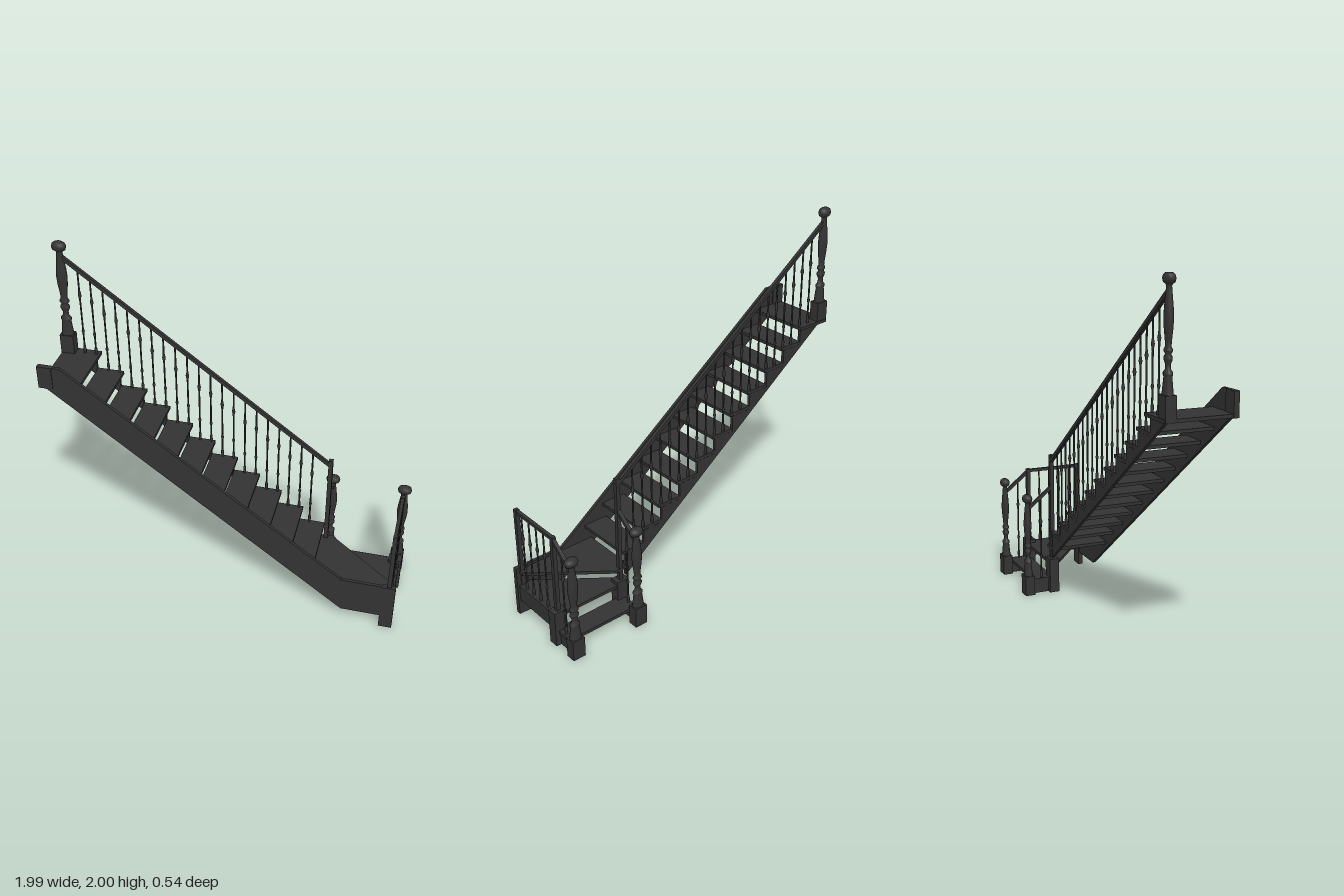
import * as THREE from 'three';

export function createModel() {
  const group = new THREE.Group();
  const mat = new THREE.MeshStandardMaterial({ color: 0x333333 });
  mat.name = 'charcoal';

  const add = (name, geo) => {
    const m = new THREE.Mesh(geo, mat);
    m.name = name;
    group.add(m);
    return m;
  };
  // box from min / max corners
  const box = (name, x0, x1, y0, y1, z0, z1) => {
    const m = add(name, new THREE.BoxGeometry(x1 - x0, y1 - y0, z1 - z0));
    m.position.set((x0 + x1) / 2, (y0 + y1) / 2, (z0 + z1) / 2);
    return m;
  };
  const shapeOf = pts => new THREE.Shape(pts.map(p => new THREE.Vector2(...p)));
  // side profile in x-y, given a thickness along z
  const board = (name, pts, z0, z1) => {
    const g = new THREE.ExtrudeGeometry(shapeOf(pts), { depth: z1 - z0, bevelEnabled: false });
    g.translate(0, 0, z0);
    return add(name, g);
  };
  // plan outline in x-z, top face at the given height
  const plate = (name, pts, top, t) => {
    const g = new THREE.ExtrudeGeometry(shapeOf(pts.map(([x, z]) => [x, -z])), { depth: t, bevelEnabled: false });
    g.rotateX(-Math.PI / 2);
    g.translate(0, top - t, 0);
    return add(name, g);
  };
  // square bar between two points
  const bar = (name, a, b, w, h) => {
    const p = new THREE.Vector3(...a), q = new THREE.Vector3(...b);
    const m = add(name, new THREE.BoxGeometry(w, h, p.distanceTo(q)));
    m.position.copy(p).lerp(q, 0.5);
    m.lookAt(q);
    return m;
  };

  // turned baluster with two beads
  const baluster = (x, z, y0, y1) => {
    const h = y1 - y0;
    const prof = [[0.008, 0], [0.008, 0.08], [0.005, 0.1], [0.005, 0.24], [0.009, 0.27], [0.005, 0.3],
      [0.005, 0.62], [0.006, 0.66], [0.01, 0.7], [0.006, 0.74], [0.005, 0.78], [0.005, 1]];
    const m = add('baluster', new THREE.LatheGeometry(prof.map(([r, t]) => new THREE.Vector2(r, t * h)), 8));
    m.position.set(x, y0, z);
  };

  // newel post: square base, flared block, turned shaft and flattened cap
  const newelProfile = [[0.036, 0], [0.034, 0.03], [0.026, 0.15], [0.03, 0.165], [0.03, 0.185], [0.018, 0.21],
    [0.016, 0.25], [0.026, 0.29], [0.027, 0.31], [0.018, 0.34], [0.027, 0.36], [0.027, 0.375], [0.019, 0.4],
    [0.021, 0.45], [0.028, 0.55], [0.031, 0.63], [0.028, 0.72], [0.02, 0.84], [0.017, 0.89], [0.022, 0.905],
    [0.036, 0.92], [0.041, 0.95], [0.036, 0.98], [0.022, 0.997], [0, 1]];
  const newel = (x, z, y0, yBase, y1) => {
    box('newelBase', x - 0.038, x + 0.038, y0, yBase, z - 0.029, z + 0.029);
    const h = y1 - yBase;
    const g = new THREE.LatheGeometry(newelProfile.map(([r, t]) => new THREE.Vector2(r, t * h)), 16);
    g.scale(1, 1, 0.72);
    const m = add('newelShaft', g);
    m.position.set(x, yBase, z);
  };

  const N = 11, run = 0.13, rise = 0.096, T = 0.018;
  const edge = i => -0.78 + run * i;
  const top = i => 1.34 - rise * i;
  const lower = x => 1.3 - 0.753 * (x + 0.93);
  const zRail = -0.085;

  // closed stringer with feet and end block
  board('frontStringer', [[-0.99, 1.32], [-0.95, 1.315], [0.69, 0.08], [0.985, 0.08], [0.985, 0.3],
    [0.68, 0.3], [-0.87, 1.45], [-0.99, 1.45]], 0.25, 0.268);
  box('frontFoot', 0.91, 0.985, 0, 0.3, 0.243, 0.272);
  box('frontEndBlock', -0.995, -0.915, 1.32, 1.45, 0.243, 0.272);

  // straight flight
  for (let i = 0; i < N; i++) {
    box('tread', i ? edge(i) - 0.15 : -0.99, edge(i), top(i) - T, top(i), -0.095, 0.252);
  }
  box('landingNosing', -0.99, -0.78, 1.322, 1.34, -0.118, -0.09);

  // cut stringer stepping under the treads
  const saw = [[-0.95, 1.315], [0.5, lower(0.5)]];
  for (let i = N - 1; i >= 0; i--) {
    const x = edge(i) - 0.02;
    saw.push([x, top(i + 1) - T], [x, top(i) - T]);
  }
  saw.push([-0.98, top(0) - T]);
  board('cutStringer', saw, -0.096, -0.078);

  // winders and bottom step
  plate('upperWinder', [[0.48, -0.095], [0.57, -0.1], [0.965, 0.215], [0.965, 0.252], [0.48, 0.252]], 0.284, T);
  plate('lowerWinder', [[0.53, -0.105], [0.97, -0.105], [0.97, 0.252], [0.9, 0.252], [0.53, -0.04]], 0.188, T);
  box('bottomTread', 0.52, 0.965, 0.073, 0.091, -0.21, -0.085);
  box('sideStringer', 0.955, 0.973, 0.09, 0.188, -0.1, 0.25);

  // lower posts, side panels and short sloping rails
  for (const x of [0.534, 0.948]) {
    box('cornerBase', x - 0.038, x + 0.038, 0, 0.21, -0.113, -0.055);
    box('stepSide', x - 0.008, x + 0.008, 0, 0.09, -0.215, -0.11);
    newel(x, -0.24, 0, 0.12, 0.62);
    bar('shortRail', [x, 0.655, zRail], [x, 0.53, -0.24], 0.02, 0.018);
    baluster(x, -0.155, 0.09, 0.595);
  }
  box('tallPost', 0.522, 0.546, 0.2, 0.85, -0.097, -0.073);
  box('cornerPost', 0.936, 0.96, 0.2, 0.67, -0.097, -0.073);
  box('frontPost', 0.936, 0.96, 0.18, 0.67, 0.238, 0.262);

  // level rail beside the winders
  bar('levelRail', [0.948, 0.658, zRail], [0.948, 0.658, 0.25], 0.02, 0.018);
  for (let k = 0; k < 4; k++) baluster(0.955, 0.193 - 0.067 * k, 0.186, 0.655);

  // main rail, two balusters to a tread
  const railY = x => 1.915 - 0.744 * (x + 0.95);
  bar('mainRail', [-0.95, railY(-0.95), zRail], [0.535, railY(0.535), zRail], 0.02, 0.02);
  for (let k = 0; k < 21; k++) {
    const x = -0.865 + 0.0648 * k;
    const i = Math.max(0, Math.ceil((x + 0.78) / run));
    baluster(x, zRail, top(i) - 0.002, railY(x));
  }
  newel(-0.955, zRail, 1.325, 1.45, 2);

  return group;
}
